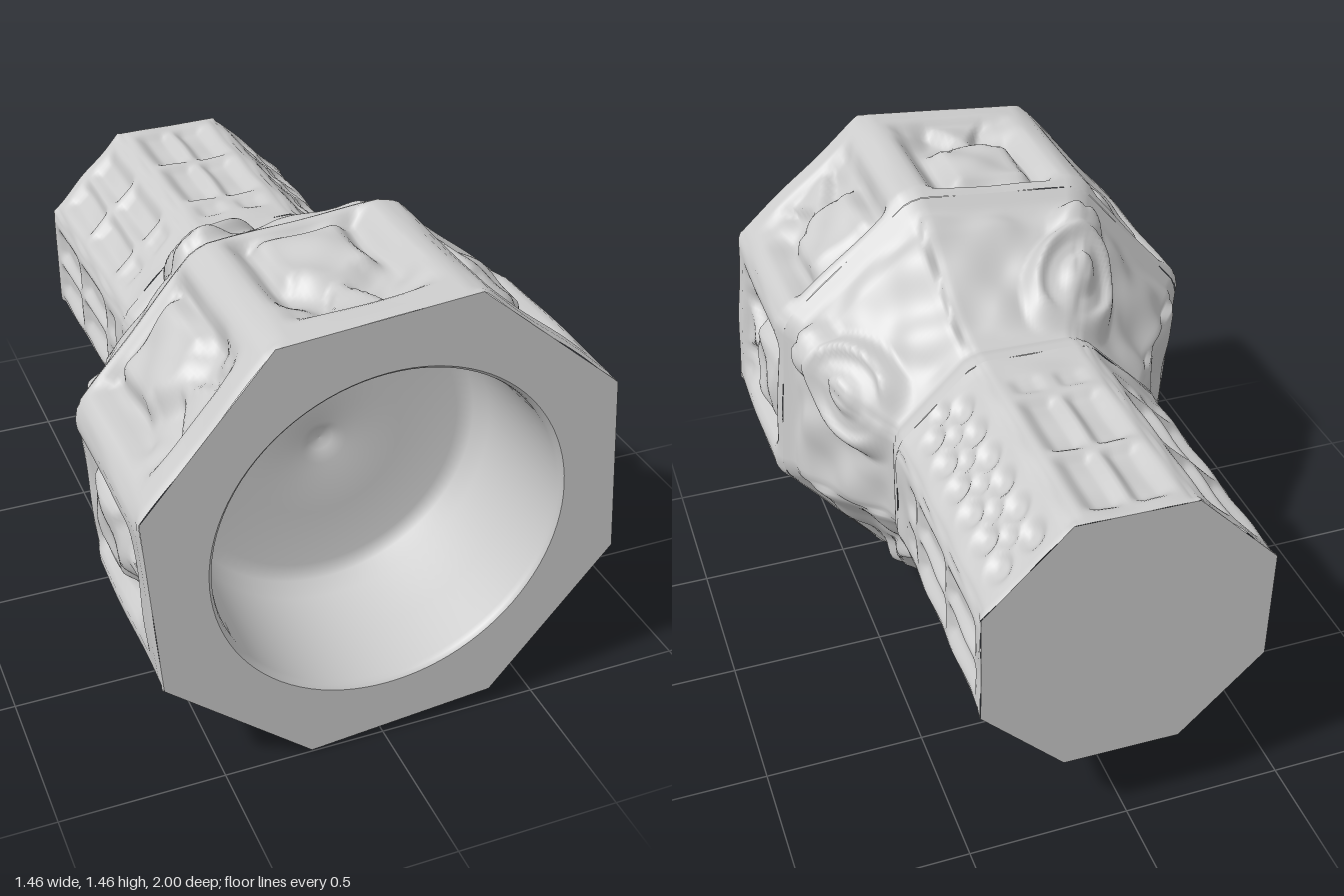
import * as THREE from 'three';

const CY = 0.73; // height of the bowl's axis
const STEPS = 36; // subdivisions per octagon face
const rad = THREE.MathUtils.degToRad;
const lerp = THREE.MathUtils.lerp;
const smooth = (a, b, x) => THREE.MathUtils.smoothstep(x, a, b);

// where each sleeve's axis runs and how its octagon is turned
const bowlPose = { rot: rad(27.5), x: 0, y: CY };
const shaftPose = { rot: rad(23.5), x: 0.02, y: 0.715 };
const taperPose = z => {
  const t = smooth(-0.1, 0.37, z), mix = key => lerp(shaftPose[key], bowlPose[key], t);
  return { rot: mix('rot'), x: mix('x'), y: mix('y') };
};

// soft-edged masks, 1 inside and 0 outside
const box = (s, z, cs, cz, hs, hz, e = 0.025) =>
  (1 - smooth(hs - e, hs + e, Math.abs(s - cs))) * (1 - smooth(hz - e, hz + e, Math.abs(z - cz)));
const disc = (s, z, cs, cz, r, e = 0.03) => 1 - smooth(r - e, r + e, Math.hypot(s - cs, z - cz));
const lumps = (a, b, k) => Math.sin(a * 27 + k * 2.1) * Math.sin(b * 23 + k * 1.3);

// linear interpolation in a list of [z, value], z falling
function sample(table, z) {
  for (let i = 1; i < table.length; i++) {
    const [z0, v0] = table[i - 1], [z1, v1] = table[i];
    if (z >= z1) return v0 + (v1 - v0) * (z0 - z) / (z0 - z1);
  }
  return table[table.length - 1][1];
}

// octagonal sleeve along z, carved by relief(s, z, face), s measured across the face
function sleeve(profile, pose, rows, relief) {
  const zA = profile[0][0], zB = profile[profile.length - 1][0];
  const pos = [], idx = [], n = 8 * STEPS;
  for (let j = 0; j <= rows; j++) {
    const z = lerp(zA, zB, j / rows);
    const R = sample(profile, z), p0 = pose(z);
    const half = R * Math.sin(Math.PI / 8);
    const wear = 0.009 * smooth(0, 0.03, 1 - Math.abs(z)); // rounded corners
    for (let i = 0; i < n; i++) {
      const k = Math.floor(i / STEPS), t = (i % STEPS) / STEPS;
      const a = p0.rot + k * Math.PI / 4, b = a + Math.PI / 4;
      const x = R * lerp(Math.cos(a), Math.cos(b), t);
      const y = R * lerp(Math.sin(a), Math.sin(b), t);
      const s = (t - 0.5) * 2 * half;
      const cut = wear * (1 - smooth(0, 0.035, half - Math.abs(s)));
      const f = 1 + (relief(s, z, k, half) - cut) / Math.hypot(x, y);
      pos.push(p0.x + x * f, p0.y + y * f, z);
      if (j < rows) {
        const p = j * n + i, q = j * n + (i + 1) % n;
        idx.push(p, p + n, q, q, p + n, q + n);
      }
    }
  }
  const g = new THREE.BufferGeometry();
  g.setAttribute('position', new THREE.Float32BufferAttribute(pos, 3));
  g.setIndex(idx);
  g.computeVertexNormals();
  return g;
}

function octagon(R, rot) {
  return new THREE.Shape(Array.from({ length: 8 }, (_, k) => {
    const a = rot + k * Math.PI / 4;
    return new THREE.Vector2(R * Math.cos(a), R * Math.sin(a));
  }));
}

// sunk panel with a worn shield and its supporters
function blockRelief(s, z, k) {
  const panel = box(s, z, 0, 0.655, 0.2, 0.235, 0.03);
  const shift = 0.02 * Math.sin(k * 2.4);
  const shield = Math.max(
    box(s, z, shift, 0.57, 0.14, 0.13, 0.04),
    disc(s, z, shift, 0.63, 0.12, 0.05));
  const tail = box(s, z, shift, 0.8, 0.035 + Math.max(0, z - 0.78) * 0.6, 0.09, 0.025);
  const corners = disc(Math.abs(s), z, 0.19, 0.86, 0.07, 0.04);
  const carving = Math.max(shield * 0.052, tail * 0.036, corners * 0.032);
  return panel * (-0.06 + carving + 0.008 * lumps(s, z, k)) + 0.003 * lumps(s * 0.6, z * 0.5, k);
}

// rosettes on every second corner, worn folds on the faces between
function taperRelief(s, z, k, half) {
  const d = k % 2 === 0 ? s + half : half - s; // distance from the carved corner
  const r = Math.hypot(d, z - 0.07);
  const rosette = 0.062 * (1 - smooth(0.13, 0.19, r))
    - 0.024 * (1 - smooth(0.015, 0.05, Math.abs(r - 0.085)));
  const knob = 0.05 * disc(d, z, 0.03, 0.24, 0.06, 0.035);
  const fade = smooth(-0.09, 0, z) * (1 - smooth(0.28, 0.34, z));
  const folds = 0.011 * Math.sin(z * 30 + s * 9 + k) * smooth(0.16, 0.26, d);
  return fade * (Math.max(rosette, knob) + folds + 0.007 * lumps(s, z, k));
}

// paired lancet panels, with tracery on two faces
function shaftRelief(s, z, k) {
  const side = Math.abs(s);
  let sunk = 0;
  if (k === 0 || k === 5) {
    for (let i = 0; i < 6; i++) {
      const c = -0.9 + i * 0.125;
      sunk = Math.max(sunk, 0.8 * disc(side, z, 0.065, c, 0.04, 0.022), 0.6 * disc(s, z, 0, c + 0.0625, 0.03, 0.02));
    }
  } else {
    sunk = Math.max(
      box(side, z, 0.07, -0.82, 0.048, 0.12, 0.024),
      box(side, z, 0.07, -0.53, 0.048, 0.125, 0.024),
      0.5 * box(side, z, 0.07, -0.32, 0.04, 0.035, 0.02));
  }
  return -0.026 * sunk + 0.003 * lumps(s, z, k);
}

export function createModel() {
  const model = new THREE.Group();
  const stone = new THREE.MeshStandardMaterial({ color: 0xcccccc });
  const thin = new THREE.MeshStandardMaterial({ color: 0xcccccc, side: THREE.DoubleSide });
  const add = (name, geometry, material = stone) => {
    const mesh = new THREE.Mesh(geometry, material);
    mesh.name = name;
    model.add(mesh);
    return mesh;
  };

  // carved octagonal bowl
  add('bowlBlock', sleeve(
    [[1, 0.76], [0.985, 0.768], [0.41, 0.768], [0.37, 0.745]],
    () => bowlPose, 56, blockRelief));

  // tapering underside of the bowl
  add('bowlTaper', sleeve(
    [[0.37, 0.745], [0.33, 0.71], [0.25, 0.68], [0.1, 0.575], [-0.05, 0.475], [-0.09, 0.455], [-0.13, 0.468], [-0.17, 0.47]],
    taperPose, 48, taperRelief));

  // panelled shaft
  add('shaft', sleeve(
    [[-0.17, 0.47], [-0.21, 0.465], [-0.99, 0.475], [-1, 0.472]],
    () => shaftPose, 76, shaftRelief));

  // flat rim around the basin
  const rimShape = octagon(0.76, bowlPose.rot);
  rimShape.holes.push(new THREE.Path().absarc(0, 0, 0.538, 0, Math.PI * 2, true));
  add('rim', new THREE.ShapeGeometry(rimShape, 48)).position.set(0, CY, 1);

  // round basin with a shallow drain dimple
  const profile = [[0, 0.475], [0.04, 0.48], [0.075, 0.505], [0.25, 0.51], [0.44, 0.517], [0.485, 0.54],
    [0.508, 0.6], [0.518, 0.8], [0.524, 0.975], [0.528, 0.99], [0.538, 1]];
  const basin = new THREE.LatheGeometry(profile.map(p => new THREE.Vector2(...p)), 96);
  add('basin', basin.rotateX(Math.PI / 2), thin).position.y = CY;

  // flat foot of the shaft
  const foot = add('shaftEnd', new THREE.ShapeGeometry(octagon(0.472, -shaftPose.rot)));
  foot.rotation.x = Math.PI;
  foot.position.set(shaftPose.x, shaftPose.y, -1);

  return model;
}
